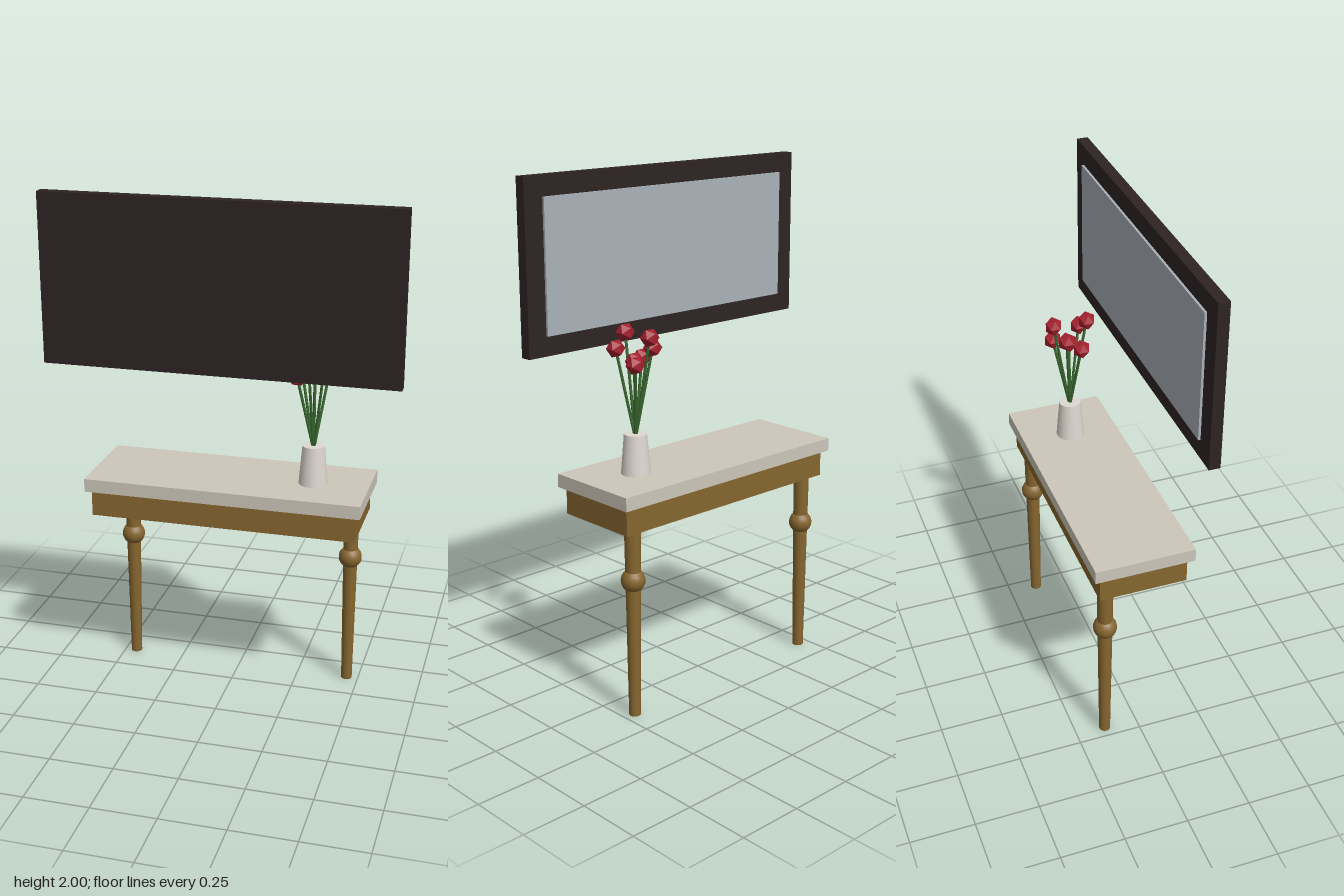
import * as THREE from 'three';

export function createModel() {
  const root = new THREE.Group();
  root.name = 'consoleTableWithMirror';

  const mat = (name, color, flat = false) => {
    const m = new THREE.MeshStandardMaterial({ color, flatShading: flat });
    m.name = name;
    return m;
  };
  const wood = mat('golden wood', 0x86662f);
  const stone = mat('pale stone', 0xcdc7ba);
  const ceramic = mat('white ceramic', 0xded8d0);
  const darkWood = mat('dark frame wood', 0x2e2323);
  const glass = mat('mirror glass', 0xa9b1b9);
  const green = mat('stem green', 0x3a6a30);
  const red = mat('rose red', 0xa51f2d, true);

  const add = (parent, name, geo, material, x, y, z) => {
    const mesh = new THREE.Mesh(geo, material);
    mesh.name = name;
    mesh.position.set(x, y, z);
    parent.add(mesh);
    return mesh;
  };

  // Table slab and apron
  const table = new THREE.Group();
  table.name = 'table';
  root.add(table);
  add(table, 'tableTop', new THREE.BoxGeometry(1.076, 0.052, 0.388), stone, 0, 0.87, -0.005);
  add(table, 'apron', new THREE.BoxGeometry(1.034, 0.104, 0.342), wood, 0, 0.792, -0.005);

  // Two tapered legs, each with a turned ball
  for (const side of [1, -1]) {
    const leg = new THREE.Group();
    leg.name = side > 0 ? 'leftLeg' : 'rightLeg';
    leg.position.set(side * 0.453, 0, -0.132);
    table.add(leg);
    add(leg, 'legShaft', new THREE.CylinderGeometry(0.031, 0.022, 0.74, 16), wood, 0, 0.37, 0);
    add(leg, 'legBall', new THREE.SphereGeometry(0.046, 16, 12), wood, 0, 0.543, 0);
  }

  // Wall mirror, its glass facing the table
  const mirror = new THREE.Group();
  mirror.name = 'mirror';
  root.add(mirror);
  add(mirror, 'mirrorFrame', new THREE.BoxGeometry(1.348, 0.643, 0.043), darkWood, 0, 1.6785, 0.1785);
  add(mirror, 'mirrorGlass', new THREE.BoxGeometry(1.19, 0.495, 0.009), glass, 0, 1.6785, 0.1525);

  // Vase
  const bouquet = new THREE.Group();
  bouquet.name = 'bouquet';
  bouquet.position.set(0.321, 0, -0.003);
  root.add(bouquet);
  add(bouquet, 'vase', new THREE.CylinderGeometry(0.043, 0.056, 0.154, 20), ceramic, 0, 0.972, 0);

  // Seven roses fanning out at three repeating heights, the first upright
  const base = new THREE.Vector3(0, 1.03, 0);
  const up = new THREE.Vector3(0, 1, 0);
  const heights = [1.323, 1.368, 1.418];
  for (let i = 0; i < 7; i++) {
    const a = (i / 7) * Math.PI * 2;
    const r = i === 0 ? 0 : 0.069;
    const tip = new THREE.Vector3(Math.cos(a) * r, heights[i % 3], Math.sin(a) * r);
    const dir = tip.clone().sub(base);
    const mid = base.clone().add(tip).multiplyScalar(0.5);
    const stem = add(bouquet, 'stem', new THREE.CylinderGeometry(0.0055, 0.0055, dir.length(), 6), green, mid.x, mid.y, mid.z);
    stem.quaternion.setFromUnitVectors(up, dir.normalize());
    add(bouquet, 'rose', new THREE.IcosahedronGeometry(0.036, 0), red, tip.x, tip.y, tip.z);
  }

  return root;
}
